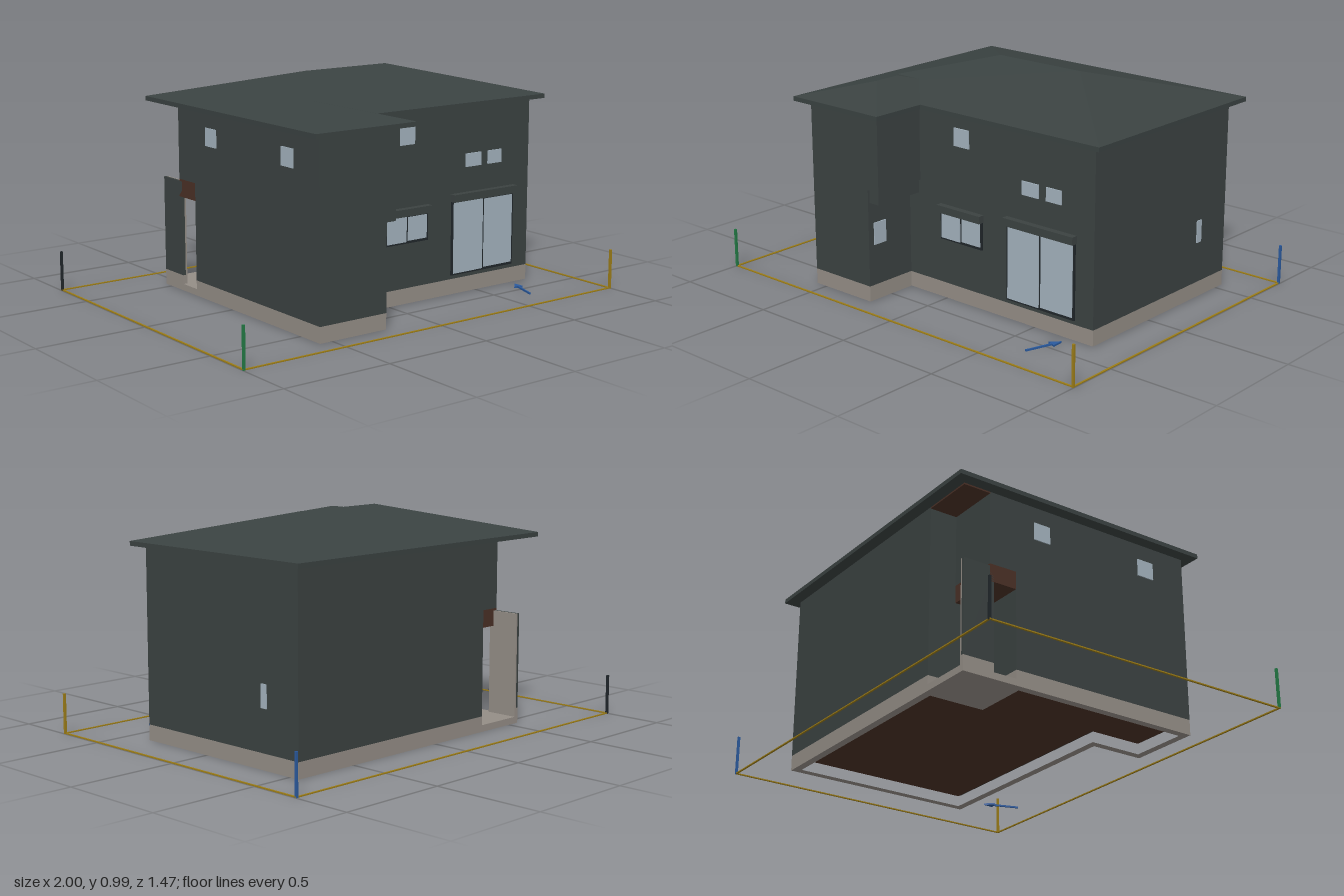
import * as THREE from 'three';

const mat = (name, color) => {
  const m = new THREE.MeshStandardMaterial({ color });
  m.name = name;
  return m;
};

export function createModel() {
  const wall = mat('wall', 0x3b4241);
  const roofing = mat('roofing', 0x3a4241);
  const concrete = mat('concrete', 0x948d86);
  const glass = mat('glass', 0xa3b2bd);
  const wood = mat('wood', 0x4a3026);
  const frame = mat('frame', 0x20262a);
  const gold = mat('gold', 0x9c7d18);
  const blue = mat('blue', 0x2a5a9e);
  const green = mat('green', 0x237a45);

  const model = new THREE.Group();
  const add = (name, geometry, material, parent = model) => {
    const mesh = new THREE.Mesh(geometry, material);
    mesh.name = name;
    parent.add(mesh);
    return mesh;
  };

  // Box given by its lower and upper limits on each axis
  const box = (name, material, x0, x1, y0, y1, z0, z1, parent) =>
    add(name, new THREE.BoxGeometry(x1 - x0, y1 - y0, z1 - z0)
      .translate((x0 + x1) / 2, (y0 + y1) / 2, (z0 + z1) / 2), material, parent);

  // Plan outline of [x, z] points raised from y0 to y1
  const toPoints = (plan) => plan.map(([x, z]) => new THREE.Vector2(x, -z));
  const prism = (name, material, plan, y0, y1, hole) => {
    const shape = new THREE.Shape(toPoints(plan));
    if (hole) shape.holes.push(new THREE.Path(toPoints(hole)));
    const g = new THREE.ExtrudeGeometry(shape, { depth: y1 - y0, bevelEnabled: false });
    return add(name, g.rotateX(-Math.PI / 2).translate(0, y0, 0), material);
  };

  // House outline: notch at the back left corner, wing at the front left
  const outline = (notchZ, wingX, d = 0) => [
    [-0.31 + d, -0.55 + d], [0.81 - d, -0.55 + d], [0.81 - d, 0.375 - d], [wingX - d, 0.375 - d],
    [wingX - d, 0.63 - d], [-0.56 + d, 0.63 - d], [-0.56 + d, notchZ + d], [-0.31 + d, notchZ + d],
  ];

  // Foundation and floor
  const inner = outline(-0.29, -0.22, 0.035);
  prism('foundation', concrete, outline(-0.29, -0.22), 0, 0.07, inner);
  prism('floor', wood, inner, 0.05, 0.07);

  // Storeys
  prism('lowerWalls', wall, outline(-0.29, -0.22), 0.07, 0.51);
  prism('upperWalls', wall, outline(-0.42, -0.155), 0.51, 0.85);
  box('overhangBeam', wall, -0.22, -0.165, 0.45, 0.51, 0.37, 0.62);

  // Porch: slab, wooden ceiling band, thin screen wall with a light inside
  const porch = new THREE.Group();
  porch.name = 'porch';
  model.add(porch);
  box('porchSlab', concrete, -0.56, -0.31, 0, 0.03, -0.55, -0.29, porch);
  box('porchCeiling', wood, -0.56, -0.31, 0.43, 0.51, -0.42, -0.29, porch);
  box('screenFoot', concrete, -0.56, -0.54, 0.03, 0.07, -0.55, -0.4, porch);
  box('screenWall', wall, -0.56, -0.548, 0.07, 0.5, -0.55, -0.4, porch);
  box('screenLining', concrete, -0.548, -0.54, 0.07, 0.5, -0.55, -0.4, porch);
  box('porchSoffit', wood, -0.56, -0.31, 0.838, 0.845, -0.55, -0.42, porch);

  // Eaves
  prism('eaves', roofing, [
    [-0.615, -0.605], [0.86, -0.605], [0.86, 0.42], [-0.105, 0.42], [-0.105, 0.68], [-0.615, 0.68],
  ], 0.845, 0.865);

  // Hip roof with its ridge along x
  const hipRoof = (name, length, width, rise) => {
    const l = length / 2, w = width / 2, r = l - w;
    const v = [[-l, 0, -w], [l, 0, -w], [l, 0, w], [-l, 0, w], [-r, rise, 0], [r, rise, 0]];
    const faces = [3, 2, 5, 3, 5, 4, 1, 0, 4, 1, 4, 5, 0, 3, 4, 2, 1, 5];
    const g = new THREE.BufferGeometry();
    g.setAttribute('position', new THREE.Float32BufferAttribute(faces.flatMap((i) => v[i]), 3));
    g.computeVertexNormals();
    return add(name, g, roofing);
  };
  hipRoof('mainRoof', 1.475, 1.025, 0.126).position.set(0.1225, 0.865, -0.0925);
  const wingRoof = hipRoof('wingRoof', 0.635, 0.51, 0.063);
  wingRoof.position.set(-0.36, 0.865, 0.3625);
  wingRoof.rotation.y = Math.PI / 2;

  // Windows on the front wall
  const Z = 0.375;
  const frontPane = (x0, x1, y0, y1, out = 0.006) =>
    box('frontPane', glass, x0, x1, y0, y1, Z - 0.001, Z + out);
  frontPane(0.05, 0.135, 0.705, 0.785);
  frontPane(0.43, 0.52, 0.57, 0.63);
  frontPane(0.56, 0.64, 0.57, 0.63);

  // Sliding windows: dark frame, two panes, shutter box above
  const slidingWindow = (x0, x1, y0, y1, top) => {
    const mid = (x0 + x1) / 2;
    box('windowFrame', frame, x0, x1, y0, y1, Z - 0.001, Z + 0.008);
    frontPane(x0 + 0.008, mid - 0.004, y0 + 0.008, y1 - 0.002, 0.012);
    frontPane(mid + 0.005, x1 - 0.008, y0 + 0.012, y1 - 0.008, 0.01);
    box('shutterBox', wall, x0 - 0.005, x1 + 0.005, y1, top, Z - 0.001, Z + 0.03);
  };
  slidingWindow(-0.028, 0.21, 0.272, 0.397, 0.43);
  slidingWindow(0.35, 0.715, 0.088, 0.423, 0.457);

  // Windows on the side walls
  const sidePane = (x, y0, y1, z0, z1) =>
    box('sidePane', glass, x - 0.005, x + 0.005, y0, y1, z0, z1);
  sidePane(-0.22, 0.255, 0.355, 0.53, 0.6);
  sidePane(0.81, 0.255, 0.355, -0.37, -0.338);
  sidePane(-0.56, 0.69, 0.77, -0.195, -0.113);
  sidePane(-0.56, 0.69, 0.77, 0.37, 0.455);

  // Plot boundary lines and corner posts
  for (const s of [-1, 1]) {
    box('boundaryLine', gold, -1, 1, 0, 0.005, s * 0.73 - 0.004, s * 0.73 + 0.004);
    box('boundaryLine', gold, s * 0.995 - 0.004, s * 0.995 + 0.004, 0, 0.005, -0.73, 0.73);
  }
  for (const [sx, sz, m] of [[-1, 1, green], [1, 1, gold], [1, -1, blue], [-1, -1, frame]]) {
    box('cornerPost', m, sx * 0.995 - 0.005, sx * 0.995 + 0.005, 0, 0.18, sz * 0.73 - 0.005, sz * 0.73 + 0.005);
  }

  // Flat arrow on the ground pointing at the house
  prism('arrow', blue, [
    [0.69, 0.43], [0.693, 0.482], [0.677, 0.475], [0.638, 0.592], [0.632, 0.59], [0.67, 0.473], [0.654, 0.468],
  ], 0, 0.008);

  return model;
}
